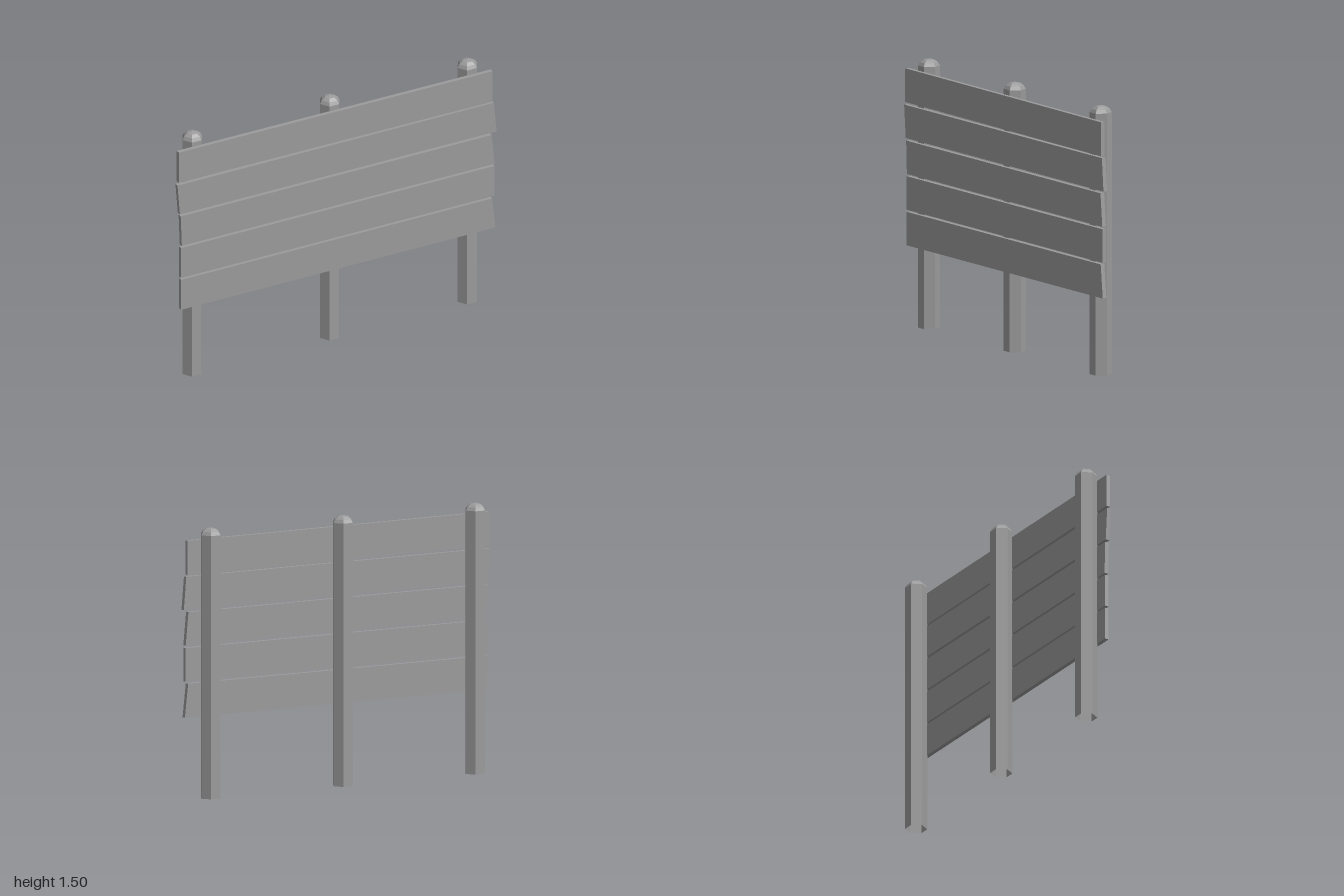
import * as THREE from 'three';

const material = new THREE.MeshStandardMaterial({ color: 0x9b9b9b, flatShading: true, side: THREE.DoubleSide });

// Hexagonal post with a rounded cap, open at the bottom
function makePost(x) {
  const profile = [[0.061, 0], [0.061, 1.462], [0.05, 1.481], [0.031, 1.495], [0, 1.502]]
    .map(([r, y]) => new THREE.Vector2(r, y));
  const post = new THREE.Mesh(new THREE.LatheGeometry(profile, 6, Math.PI / 6), material);
  post.position.set(x, 0, -0.011);
  post.name = 'post';
  return post;
}

// Flat board cut to a slightly crooked outline
function makeBoard(corners) {
  const shape = new THREE.Shape(corners.map(([x, y]) => new THREE.Vector2(x, y)));
  const geometry = new THREE.ExtrudeGeometry(shape, { depth: 0.024, bevelEnabled: false });
  const board = new THREE.Mesh(geometry, material);
  board.position.z = 0.04;
  board.name = 'board';
  return board;
}

export function createModel() {
  const fence = new THREE.Group();
  fence.name = 'fence';

  for (const x of [-0.867, -0.005, 0.858]) fence.add(makePost(x));

  // Corners run bottom left, bottom right, top right, top left
  const boards = [
    [[-0.977, 0.449], [0.993, 0.449], [0.972, 0.636], [-0.977, 0.636]],
    [[-0.977, 0.648], [0.988, 0.648], [0.988, 0.835], [-0.977, 0.835]],
    [[-0.973, 0.848], [0.988, 0.848], [0.97, 1.033], [-0.98, 1.033]],
    [[-0.985, 1.047], [1, 1.047], [0.984, 1.231], [-1, 1.231]],
    [[-0.992, 1.247], [0.975, 1.24], [0.975, 1.43], [-0.992, 1.435]],
  ];
  for (const corners of boards) fence.add(makeBoard(corners));

  return fence;
}
